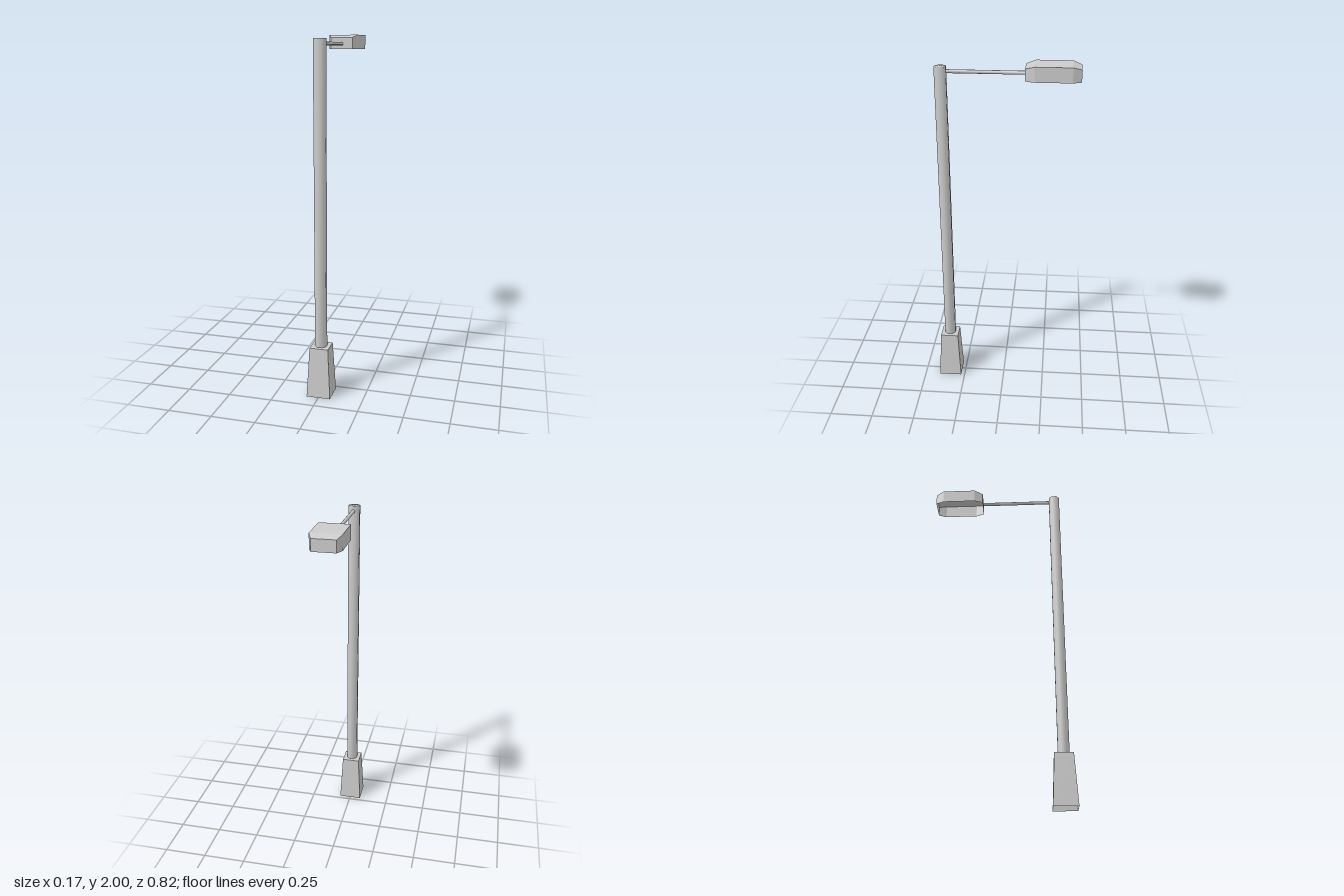
import * as THREE from 'three';
import { mergeVertices } from 'three/addons/utils/BufferGeometryUtils.js';

const POLE_Z = 0.34;

function makeMaterial(flatShading) {
  return new THREE.MeshStandardMaterial({ color: 0xcccccc, flatShading, side: THREE.DoubleSide });
}

function addMesh(parent, name, geometry, material) {
  const mesh = new THREE.Mesh(geometry, material);
  mesh.name = name;
  parent.add(mesh);
  return mesh;
}

// Eight-sided rod with flats on the axes and normals smoothed over its ends
function smoothRod(apothem, length) {
  const radius = apothem / Math.cos(Math.PI / 8);
  const rod = new THREE.CylinderGeometry(radius, radius, length, 8).rotateY(Math.PI / 8);
  rod.deleteAttribute('normal');
  rod.deleteAttribute('uv');
  const merged = mergeVertices(rod);
  merged.computeVertexNormals();
  return merged;
}

// Tapered square base, open underneath
function baseGeometry(bottomHalf, topHalf, height) {
  const corners = [[-1, 1], [1, 1], [1, -1], [-1, -1]];
  const positions = [];
  for (const [half, y] of [[bottomHalf, 0], [topHalf, height]]) {
    for (const [x, z] of corners) positions.push(x * half, y, z * half);
  }
  const index = [4, 5, 6, 4, 6, 7];
  for (let i = 0; i < 4; i++) {
    const j = (i + 1) % 4;
    index.push(i, j, j + 4, i, j + 4, i + 4);
  }
  const geometry = new THREE.BufferGeometry();
  geometry.setAttribute('position', new THREE.Float32BufferAttribute(positions, 3));
  geometry.setIndex(index);
  geometry.computeVertexNormals();
  return geometry;
}

// Lamp housing: cross-sections along z, each an open-bottomed box profile
function housingGeometry() {
  const sections = [ // z, half width, top y
    [-0.115, 0.064, 1.985],
    [-0.165, 0.084, 2],
    [-0.363, 0.084, 2],
    [-0.41, 0.064, 1.985],
  ];
  const bottom = 1.92;
  const positions = [];
  for (const [z, w, top] of sections) {
    positions.push(w, bottom, z, w, top, z, -w, top, z, -w, bottom, z);
  }
  const index = [];
  for (let s = 0; s < sections.length - 1; s++) {
    for (let k = 0; k < 3; k++) {
      const a = s * 4 + k, b = a + 4;
      index.push(a, b, b + 1, a, b + 1, a + 1);
    }
  }
  // End walls
  const e = (sections.length - 1) * 4;
  index.push(0, 1, 2, 0, 2, 3, e, e + 2, e + 1, e, e + 3, e + 2);
  const geometry = new THREE.BufferGeometry();
  geometry.setAttribute('position', new THREE.Float32BufferAttribute(positions, 3));
  geometry.setIndex(index);
  geometry.computeVertexNormals();
  return geometry;
}

export function createModel() {
  const group = new THREE.Group();
  group.name = 'streetLamp';
  const flat = makeMaterial(true);
  const smooth = makeMaterial(false);

  addMesh(group, 'base', baseGeometry(0.068, 0.053, 0.29), flat).position.z = POLE_Z;

  // Upright pole
  const poleTop = 1.976, poleBottom = 0.285;
  addMesh(group, 'pole', smoothRod(0.032, poleTop - poleBottom), smooth)
    .position.set(0, (poleTop + poleBottom) / 2, POLE_Z);

  // Horizontal arm reaching back to the lamp
  const armFront = 0.33, armBack = -0.117;
  addMesh(group, 'arm', smoothRod(0.0095, armFront - armBack).rotateX(Math.PI / 2), smooth)
    .position.set(0, 1.95, (armFront + armBack) / 2);

  addMesh(group, 'lampHousing', housingGeometry(), flat);
  return group;
}
